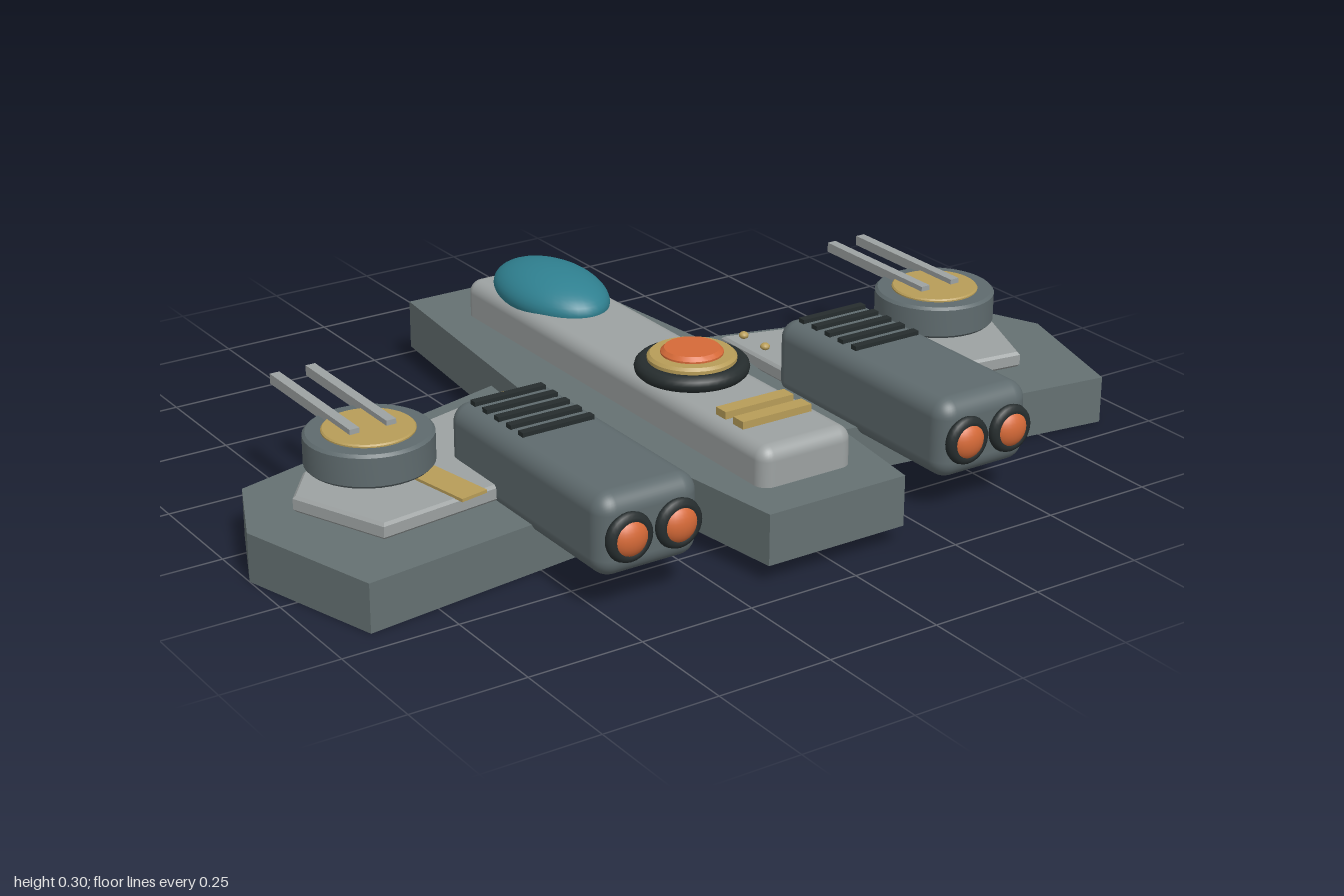
import * as THREE from 'three';
import { toCreasedNormals } from 'three/addons/utils/BufferGeometryUtils.js';
import { RoundedBoxGeometry } from 'three/addons/geometries/RoundedBoxGeometry.js';

function paint(name, color) {
  const m = new THREE.MeshStandardMaterial({ color });
  m.name = name;
  return m;
}

export function createModel() {
  const hullGrey = paint('hull grey', 0x657172);
  const podGrey = paint('pod grey', 0x5f6b6e);
  const panelGrey = paint('panel grey', 0x9da2a2);
  const gold = paint('gold', 0xb89d58);
  const orange = paint('orange', 0xd66a38);
  const glass = paint('teal glass', 0x2f8090);
  const dark = paint('dark trim', 0x262d2e);

  const model = new THREE.Group();
  model.name = 'gunship';

  function add(name, geometry, material, x = 0, y = 0, z = 0, parent = model) {
    const mesh = new THREE.Mesh(geometry, material);
    mesh.name = name;
    mesh.position.set(x, y, z);
    parent.add(mesh);
    return mesh;
  }

  // Flat slab from an outline of [x, z] points, standing on its base; bevel rounds the top edge
  function slab(points, height, side = 1, bevel = 0) {
    const shape = new THREE.Shape(points.map(([x, z]) => new THREE.Vector2(x * side, -z)));
    const geometry = new THREE.ExtrudeGeometry(shape, {
      depth: height - 2 * bevel, bevelEnabled: bevel > 0, bevelSegments: 1,
      bevelSize: bevel, bevelThickness: bevel, bevelOffset: -bevel,
    });
    geometry.translate(0, 0, bevel);
    return geometry.rotateX(-Math.PI / 2);
  }

  // Upright disc with a small chamfer, centred on its middle
  function disc(radius, height, chamfer) {
    const h = height / 2;
    const profile = [[0, -h], [radius - chamfer, -h], [radius, -h + chamfer],
      [radius, h - chamfer], [radius - chamfer, h], [0, h]];
    const lathe = new THREE.LatheGeometry(profile.map(([r, y]) => new THREE.Vector2(r, y)), 40);
    return toCreasedNormals(lathe, 0.5);
  }

  // Fuselage
  add('fuselage', slab([[-0.185, -0.692], [0.185, -0.692], [0.255, 0.01],
    [0.165, 0.688], [-0.165, 0.688], [-0.255, 0.01]], 0.11), hullGrey, 0, 0.04, 0);
  add('spine', new RoundedBoxGeometry(0.225, 0.12, 1.15, 4, 0.03), panelGrey, 0, 0.174, 0.015);
  const canopy = add('canopy', new THREE.SphereGeometry(1, 40, 24), glass, 0, 0.238, -0.373);
  canopy.scale.set(0.107, 0.062, 0.175);
  for (const z of [0.405, 0.465]) {
    add('spineStripe', new THREE.BoxGeometry(0.168, 0.02, 0.034), gold, 0, 0.24, z);
  }

  // Round beacon on the spine
  const beacon = new THREE.Group();
  beacon.name = 'beacon';
  beacon.position.set(0, 0.25, 0.18);
  model.add(beacon);
  add('beaconRing', new THREE.TorusGeometry(0.103, 0.018, 12, 40).rotateX(Math.PI / 2), dark, 0, 0, 0, beacon);
  add('beaconCollar', disc(0.094, 0.04, 0.006), gold, 0, 0.009, 0, beacon);
  add('beaconLamp', disc(0.066, 0.04, 0.008), orange, 0, 0.021, 0, beacon);

  // Wings with everything mounted on them
  for (const side of [1, -1]) {
    const wing = new THREE.Group();
    wing.name = side > 0 ? 'leftWing' : 'rightWing';
    model.add(wing);

    add('wingSlab', slab([[0.13, -0.28], [0.917, -0.07], [1, 0.12],
      [0.907, 0.442], [0.13, 0.342]], 0.105, side), hullGrey, 0, 0, 0, wing);
    add('wingPanel', slab([[0.303, -0.145], [0.81, -0.01], [0.882, 0.085],
      [0.795, 0.297], [0.303, 0.235]], 0.035, side, 0.006), panelGrey, 0, 0.105, 0, wing);
    add('wingStripe', slab([[0.555, -0.04], [0.618, -0.055], [0.68, 0.28],
      [0.617, 0.292]].map(([x, z]) => [1.235 - x, z]), 0.007, side), gold, 0, 0.139, 0, wing);
    for (const z of [-0.065, 0.015]) {
      add('rivet', new THREE.SphereGeometry(0.011, 12, 8), gold, side * 0.307, 0.168, z, wing).scale.y = 0.75;
    }

    // Turret with twin barrels
    const turret = new THREE.Group();
    turret.name = 'turret';
    turret.position.set(side * 0.713, 0, 0.093);
    wing.add(turret);
    add('turretDrum', disc(0.132, 0.072, 0.006), podGrey, 0, 0.21, 0, turret);
    add('turretCap', disc(0.095, 0.02, 0.003), gold, 0, 0.242, 0, turret);
    for (const dx of [-0.041, 0.041]) {
      add('barrel', new THREE.BoxGeometry(0.022, 0.022, 0.345), panelGrey, dx, 0.252, -0.153, turret);
    }

    // Engine pod with vents and twin nozzles
    const pod = new THREE.Group();
    pod.name = 'enginePod';
    pod.position.set(side * 0.408, 0.167, 0);
    wing.add(pod);
    add('podBody', new RoundedBoxGeometry(0.232, 0.174, 0.575, 5, 0.04), podGrey, 0, 0, 0.357, pod);
    for (let i = 0; i < 5; i++) {
      add('vent', new THREE.BoxGeometry(0.166, 0.018, 0.018), dark, 0, 0.087, 0.121 + i * 0.046, pod);
    }
    for (const dx of [-0.056, 0.056]) {
      add('nozzleRing', new THREE.TorusGeometry(0.039, 0.013, 10, 28), dark, dx, 0, 0.65, pod);
      const glow = add('nozzleGlow', new THREE.SphereGeometry(0.043, 24, 16), orange, dx, 0, 0.645, pod);
      glow.scale.z = 0.7;
    }
  }
  return model;
}
